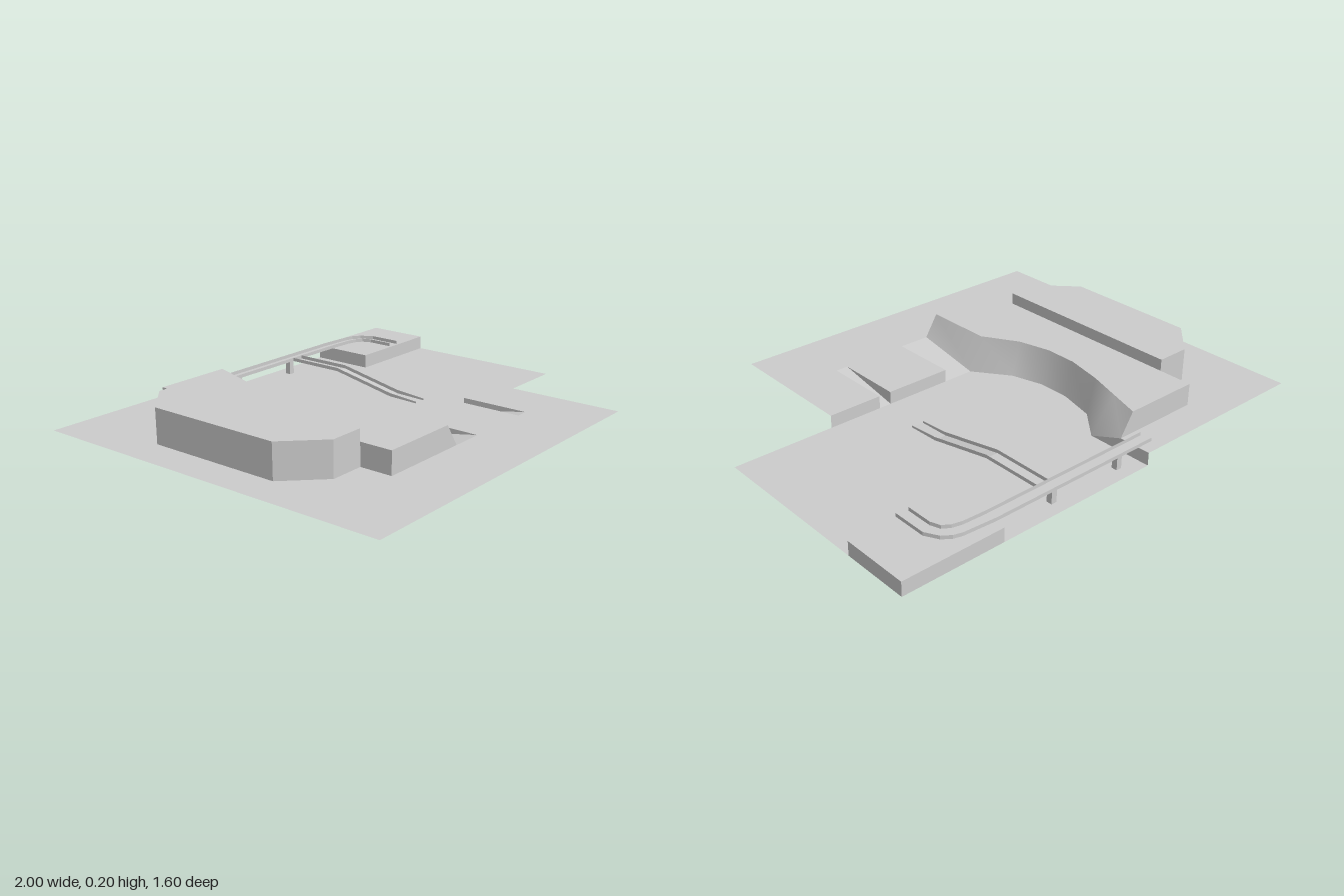
import * as THREE from 'three';

const grey = new THREE.MeshStandardMaterial({ color: 0xcccccc, side: THREE.DoubleSide });
const HIGH = 0.055, TIER = 0.15, TOP = 0.2, DECK = 0.065, KERB = 0.08, BOX = 0.06;

export function createModel() {
  const model = new THREE.Group();

  const add = (name, geometry) => {
    const mesh = new THREE.Mesh(geometry, grey);
    mesh.name = name;
    model.add(mesh);
    return mesh;
  };

  // Flat horizontal sheet from [x, z] corners
  const sheet = (name, pts, y) => {
    const shape = new THREE.Shape(pts.map(([x, z]) => new THREE.Vector2(x, -z)));
    return add(name, new THREE.ShapeGeometry(shape).rotateX(-Math.PI / 2).translate(0, y, 0));
  };

  // Surface strip between two lines of [x, y, z] points
  const strip = (name, a, b, smooth = false) => {
    const index = [];
    for (let i = 0; i < a.length - 1; i++) {
      const j = i + a.length;
      index.push(i, i + 1, j, i + 1, j + 1, j);
    }
    let g = new THREE.BufferGeometry();
    g.setAttribute('position', new THREE.Float32BufferAttribute([...a, ...b].flat(), 3));
    g.setIndex(index);
    if (!smooth) g = g.toNonIndexed();
    g.computeVertexNormals();
    return add(name, g);
  };

  const at = (pts, y) => pts.map(([x, z]) => [x, y, z]);
  const wall = (name, pts, y0, y1) => strip(name, at(pts, y1), at(pts, y0));

  // Hollow block, open below
  const block = (name, pts, y0, y1) => {
    sheet(name + 'Roof', pts, y1);
    wall(name + 'Walls', [...pts, pts[0]], y0, y1);
  };

  // Curved cliff between upper tier and lower field: [x, y, z]
  const cliffTop = [[-0.23, TIER, -0.66], [-0.275, TIER, -0.52], [-0.32, TIER, -0.38], [-0.355, TIER, -0.22],
    [-0.355, TIER, -0.08], [-0.32, TIER, 0.06], [-0.23, TIER, 0.21], [-0.23, TIER, 0.51]];
  const cliffFoot = [[-0.17, HIGH, -0.66], [-0.17, 0, -0.51], [-0.28, 0, -0.38], [-0.32, 0, -0.22],
    [-0.32, 0, -0.08], [-0.28, 0, 0.06], [-0.17, 0, 0.21], [-0.17, HIGH, 0.51]];
  strip('cliffFace', cliffTop, cliffFoot, true);

  // Stepped tier behind the cliff
  sheet('tierTop', [[-0.565, -0.66], ...cliffTop.map(([x, , z]) => [x, z]), [-0.565, 0.51]], TIER);
  for (const z of [-0.66, 0.51])
    strip('tierEnd', [[-0.565, TIER, z], [-0.23, TIER, z]], [[-0.565, HIGH, z], [-0.17, HIGH, z]]);
  wall('tierBackWall', [[-0.565, -0.66], [-0.565, -0.51]], HIGH, TIER);
  wall('tierBackWall', [[-0.565, 0.37], [-0.565, 0.51]], HIGH, TIER);

  // Tall chamfered block
  const tall = [[-0.565, -0.51], [-0.71, -0.51], [-0.855, -0.37], [-0.855, 0.22], [-0.71, 0.37], [-0.565, 0.37]];
  block('tallBlock', tall, HIGH, TOP);

  // Raised ground, cut out under the blocks and at the two ramps
  sheet('raisedGround', [[-1, -0.8], [-0.17, -0.8], [-0.17, -0.66], [-0.565, -0.66], ...tall, [-0.565, 0.51],
    [-0.03, 0.51], [-0.03, 0.21], [0.265, 0.21], [0.265, 0.51], [0.32, 0.51], [0.32, 0.21],
    [0.56, 0.21], [0.56, 0.8], [-1, 0.8]], HIGH);

  // Lower field, following the foot of the cliff
  sheet('lowerField', [[-0.17, -0.8], [0.56, -0.8], [0.56, -0.515], [1, -0.515], [1, 0.21],
    ...cliffFoot.slice(1, 7).reverse().map(([x, , z]) => [x, z])], 0);

  // Steps between the two levels
  wall('frontStep', [[-0.03, 0.21], [0.265, 0.21]], 0, HIGH);
  wall('frontStep', [[0.32, 0.21], [0.56, 0.21]], 0, HIGH);
  strip('backStep', [[-0.17, HIGH, -0.8], [-0.17, HIGH, -0.66], [-0.17, 0, -0.51]],
    [[-0.17, 0, -0.8], [-0.17, 0, -0.66], [-0.17, 0, -0.51]]);

  // Ramps and their triangular cheeks
  for (const [x0, x1] of [[-0.17, -0.03], [0.265, 0.32]]) {
    strip('ramp', [[x0, 0, 0.21], [x0, HIGH, 0.51]], [[x1, 0, 0.21], [x1, HIGH, 0.51]]);
    for (const x of x0 < 0 ? [x1] : [x0, x1])
      strip('rampCheek', [[x, HIGH, 0.21], [x, HIGH, 0.51]], [[x, 0, 0.21], [x, HIGH, 0.51]]);
  }

  // Corner platform
  block('cornerPlatform', [[0.56, -0.8], [1, -0.8], [1, -0.515], [0.56, -0.515]], 0, BOX);

  // Elevated walkway: thin deck with a kerb on each side
  const outer = [[-0.23, -0.76], [0.56, -0.76], [0.7, -0.75], [0.735, -0.74], [0.77, -0.715], [0.8, -0.66], [0.8, -0.515]];
  const inner = [[-0.23, -0.705], [0.56, -0.705], [0.66, -0.7], [0.7, -0.69], [0.73, -0.67], [0.745, -0.63], [0.745, -0.515]];
  strip('walkwayDeck', at(outer, DECK), at(inner, DECK));
  wall('walkwayKerb', outer, DECK, KERB);
  wall('walkwayKerb', inner, DECK, KERB);

  // Branch descending to the field: [z, deck height, kerb height]
  const branch = [[-0.705, DECK, KERB], [-0.44, DECK, KERB], [-0.14, 0.006, 0.021], [0, 0.002, 0.01]];
  const line = (x, k) => branch.map(p => [x, p[k], p[0]]);
  strip('branchDeck', line(0.265, 1), line(0.32, 1));
  for (const x of [0.265, 0.32]) strip('branchKerb', line(x, 2), line(x, 1));

  // Walkway posts
  for (const x of [-0.07, 0.27]) {
    const post = add('walkwayPost', new THREE.BoxGeometry(0.025, DECK, 0.025));
    post.position.set(x, DECK / 2, -0.733);
  }

  // Hairline ground markings
  const ring = add('circleMarking', new THREE.RingGeometry(0.286, 0.29, 48).rotateX(-Math.PI / 2));
  ring.position.set(0.29, 0.001, -0.22);
  const t = 0.004;
  strip('borderMarking',
    at([[-0.25, -0.75], [-0.95, -0.75], [-0.95, 0.75], [0.15, 0.75], [0.29, 0.6], [0.29, 0.52]], HIGH + 0.001),
    at([[-0.25, -0.75 + t], [-0.95 + t, -0.75 + t], [-0.95 + t, 0.75 - t], [0.15 - t, 0.75 - t],
      [0.29 - t, 0.6 - t], [0.29 - t, 0.52]], HIGH + 0.001));

  return model;
}
